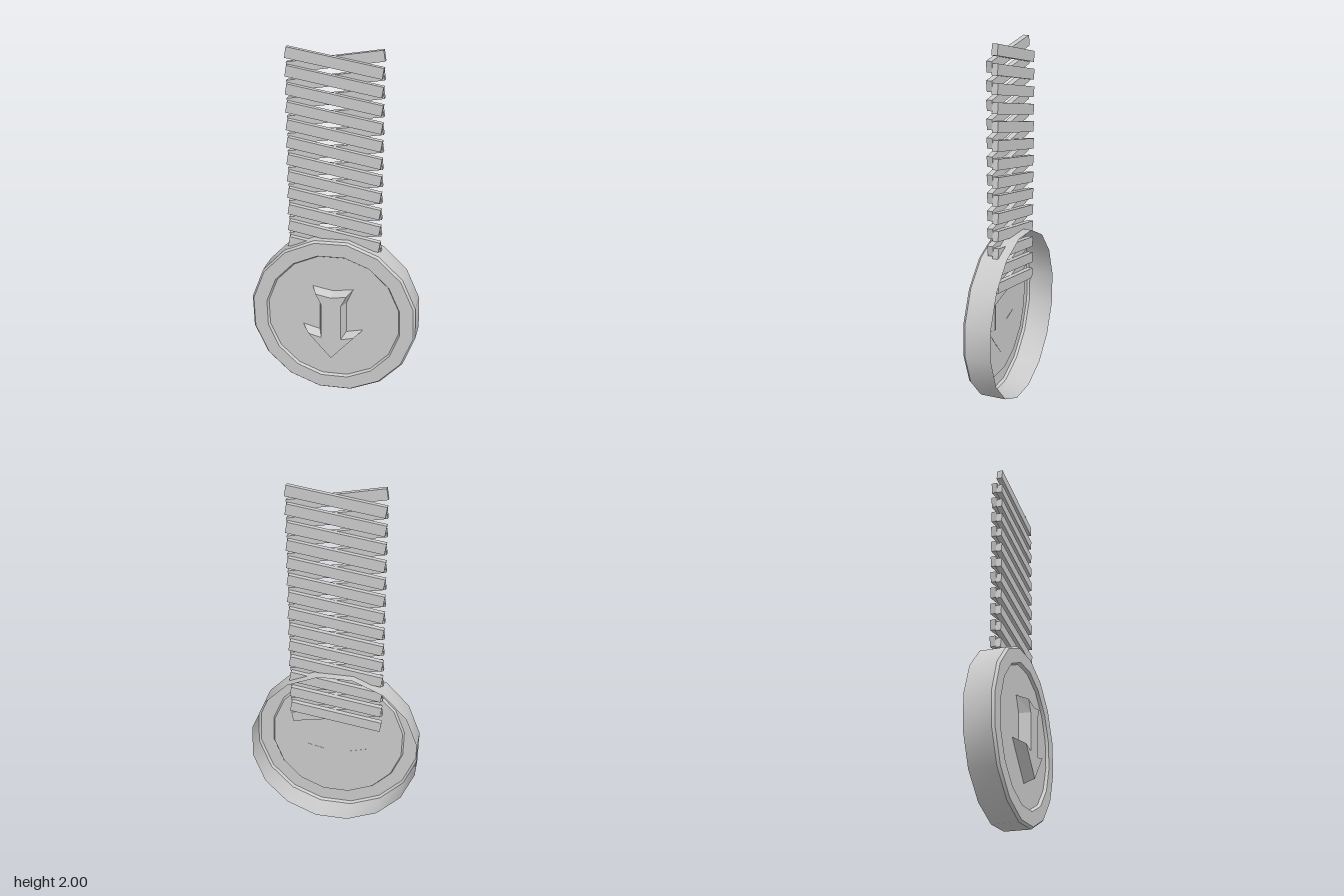
import * as THREE from 'three';
import { toCreasedNormals } from 'three/addons/utils/BufferGeometryUtils.js';

const grey = new THREE.MeshStandardMaterial({ color: 0xcccccc });
const greyDouble = new THREE.MeshStandardMaterial({ color: 0xcccccc, side: THREE.DoubleSide });
const greyFlat = new THREE.MeshStandardMaterial({ color: 0xcccccc, flatShading: true });

const mesh = (name, geometry, material) => {
  const m = new THREE.Mesh(geometry, material);
  m.name = name;
  return m;
};

// Half outline (x >= 0, tip to notch) mirrored into a closed counter-clockwise loop
const mirrorLoop = (half) => [
  ...half,
  ...half.slice(1, -1).reverse().map(([x, y]) => [-x, y]),
].map(([x, y]) => new THREE.Vector2(x, y));

// Solid with sloping sides between two matching outlines, capped at the front
function bevelledPlate(back, front, zBack, zFront) {
  const n = back.length;
  const positions = [];
  for (const [loop, z] of [[back, zBack], [front, zFront]])
    for (const p of loop) positions.push(p.x, p.y, z);
  const index = [];
  for (let i = 0; i < n; i++) {
    const j = (i + 1) % n;
    index.push(i, j, n + j, i, n + j, n + i);
  }
  for (const [a, b, c] of THREE.ShapeUtils.triangulateShape(front, []))
    index.push(n + a, n + b, n + c);
  const g = new THREE.BufferGeometry();
  g.setAttribute('position', new THREE.Float32BufferAttribute(positions, 3));
  g.setIndex(index);
  g.computeVertexNormals();
  return g;
}

export function createModel() {
  const model = new THREE.Group();
  model.name = 'medallion';

  // Open-backed 16-sided disc with bevelled rim and recessed face
  const profile = [
    [0.481, -0.105], [0.481, 0.042], [0.47, 0.056],
    [0.392, 0.056], [0.383, 0.04], [0, 0.04],
  ].map(([r, z]) => new THREE.Vector2(r, z));
  const lathe = new THREE.LatheGeometry(profile, 16, THREE.MathUtils.degToRad(12.75));
  lathe.rotateX(Math.PI / 2);
  const disc = mesh('disc', toCreasedNormals(lathe, Math.PI / 6), greyDouble);
  disc.position.y = 0.475;
  model.add(disc);

  // Raised down arrow
  const base = mirrorLoop([[0, 0.218], [0.177, 0.414], [0.078, 0.39], [0.078, 0.575], [0.117, 0.664], [0, 0.644]]);
  const top = mirrorLoop([[0, 0.238], [0.132, 0.386], [0.056, 0.367], [0.056, 0.58], [0.088, 0.643], [0, 0.627]]);
  model.add(mesh('arrow', bevelledPlate(base, top, 0.038, 0.1), greyFlat));

  // Ribbon: two layers of slats leaning opposite ways
  const slat = new THREE.BoxGeometry(0.519, 0.058, 0.032);
  const tilt = THREE.MathUtils.degToRad(9.5);
  for (const [name, z, lean] of [['frontSlats', 0.007 - 0.016, -1], ['backSlats', -0.039, 1]]) {
    const layer = new THREE.Group();
    layer.name = name;
    for (let i = 0; i < 14; i++) {
      const s = mesh('slat', slat, grey);
      s.position.set(-0.004, 1.928 - i * 0.0965, z);
      s.rotation.z = lean * tilt;
      layer.add(s);
    }
    model.add(layer);
  }
  return model;
}
